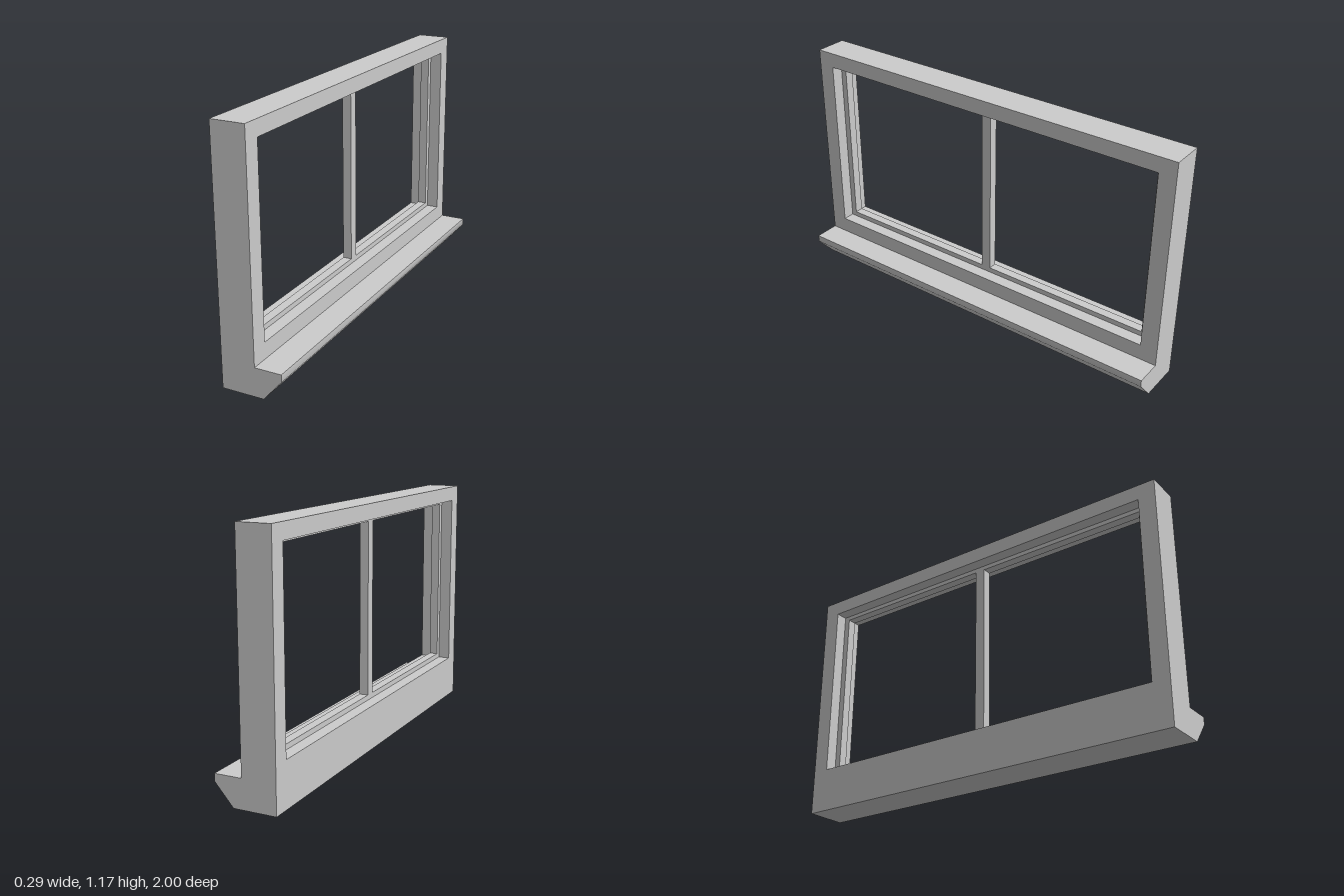
import * as THREE from 'three';
import { toCreasedNormals } from 'three/addons/utils/BufferGeometryUtils.js';

const material = new THREE.MeshStandardMaterial({ color: 0xcccccc });

function addMesh(group, name, geometry) {
  const mesh = new THREE.Mesh(geometry, material);
  mesh.name = name;
  group.add(mesh);
}

function rectangle(path, halfWidth, y0, y1) {
  path.moveTo(-halfWidth, y0);
  path.lineTo(halfWidth, y0);
  path.lineTo(halfWidth, y1);
  path.lineTo(-halfWidth, y1);
  path.closePath();
  return path;
}

// Rectangular ring in the z-y plane, running from x0 to x1.
// outer and inner are [half width, bottom, top].
function ring(outer, inner, x0, x1) {
  const shape = rectangle(new THREE.Shape(), ...outer);
  shape.holes.push(rectangle(new THREE.Path(), ...inner));
  const geometry = new THREE.ExtrudeGeometry(shape, { depth: x1 - x0, bevelEnabled: false });
  return geometry.rotateY(Math.PI / 2).translate(x0, 0, 0);
}

export function createModel() {
  const group = new THREE.Group();
  group.name = 'window';

  const back = -0.146, front = 0.017;
  const sashBack = -0.087, sashFront = -0.043;
  const opening = [0.916, 0.215, 1.101];
  const glazing = [0.886, 0.24, 1.08];

  // Deep outer frame and the thin sash set in the middle of its reveal
  addMesh(group, 'outerFrame', ring([1, 0, 1.175], opening, back, front));
  addMesh(group, 'sash', ring(opening, glazing, sashBack, sashFront));

  // Central upright dividing the two panes
  const height = glazing[2] - glazing[1];
  const mullion = new THREE.BoxGeometry(sashFront - sashBack, height, 0.05);
  mullion.translate((sashBack + sashFront) / 2, glazing[1] + height / 2, 0);
  addMesh(group, 'mullion', mullion);

  // Projecting sill with an undercut lip, shaded softly across the lip
  const profile = new THREE.Shape([
    [front, 0], [0.057, 0], [0.146, 0.102], [0.146, 0.137], [front, 0.137],
  ].map(([x, y]) => new THREE.Vector2(x, y)));
  const sill = new THREE.ExtrudeGeometry(profile, { depth: 2, bevelEnabled: false });
  sill.translate(0, 0, -1);
  addMesh(group, 'sill', toCreasedNormals(sill, 0.78));

  return group;
}
